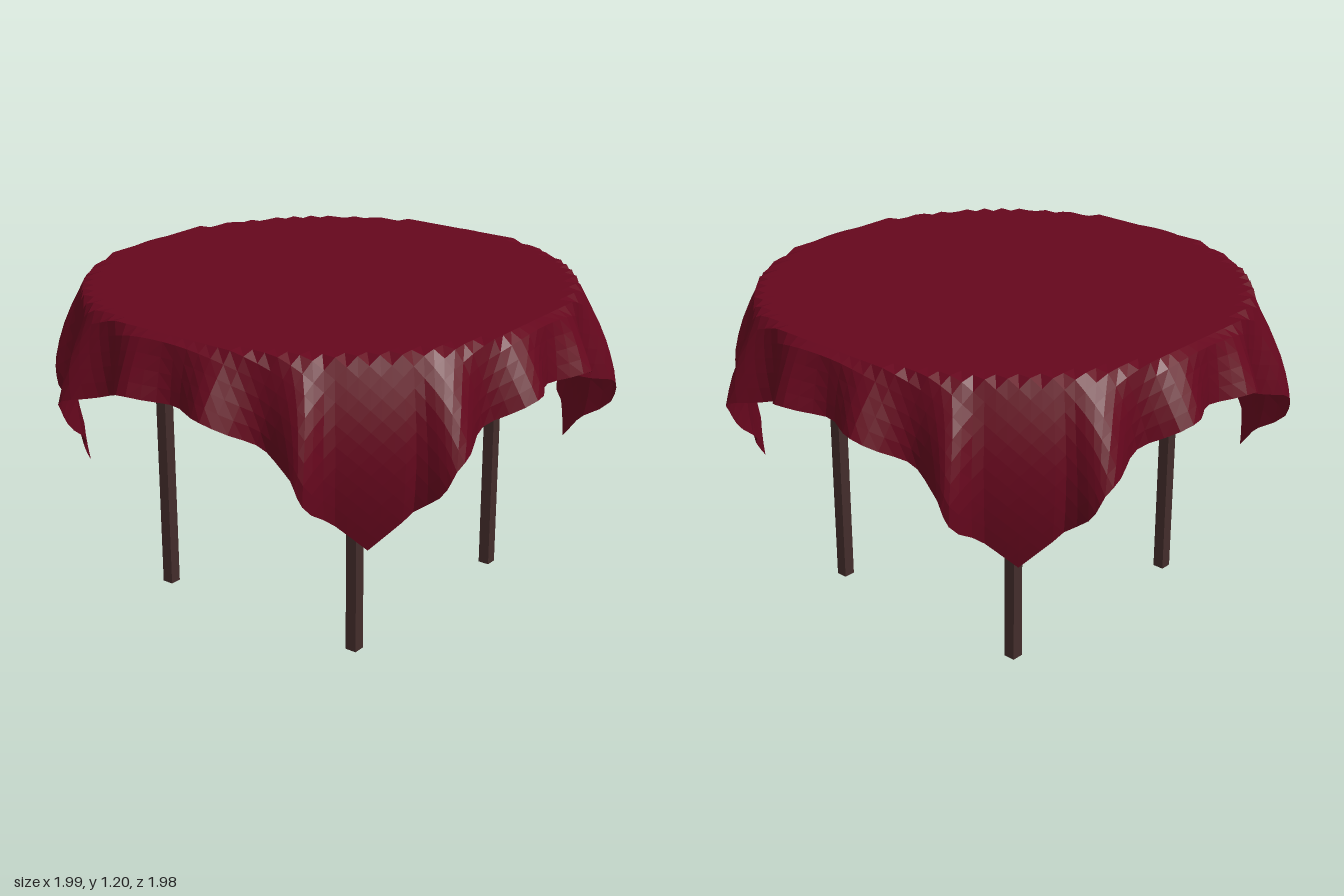
import * as THREE from 'three';

const clothRed = new THREE.MeshStandardMaterial({ name: 'clothRed', color: 0x65071d, flatShading: true, side: THREE.DoubleSide });
const darkWood = new THREE.MeshStandardMaterial({ name: 'darkWood', color: 0x432d2b, flatShading: true });

const HEIGHT = 1.2;      // top of the cloth
const FOLD_RADIUS = 0.9; // where the cloth starts to hang
const HALF = 1.115;      // half side of the square cloth
const CELLS = 44;
const { smoothstep } = THREE.MathUtils;

// Maps a point of the flat square cloth to its draped position
function drape(u, v) {
  const r = Math.hypot(u, v);
  const s = r - FOLD_RADIUS; // length hanging past the rim
  if (s <= 0) return [u, HEIGHT, v];

  // angle from the nearest corner; the tip of each flap keeps its full width as it hangs
  const angle = Math.atan2(v, u);
  const quarter = Math.PI / 2;
  const corner = (Math.floor(angle / quarter) + 0.5) * quarter;
  const flat = angle - corner;
  const spread = (r / FOLD_RADIUS - 1) * (1 - smoothstep(Math.abs(flat), 0.1, 0.28));
  const theta = corner + flat * (1 + spread);
  const offAxis = theta - Math.round(theta / quarter) * quarter;

  // pleats along the sides fade out on the corner flaps
  const fade = 1 - smoothstep(Math.abs(offAxis), 0.56, 0.67);
  const shift = 0.06 * Math.cos(theta) ** 2;
  const pleat = 0.25 - 0.75 * Math.cos(18 * (offAxis + shift));
  const flare = 0.06 * Math.sin(Math.PI * Math.min(s / 0.7, 1));
  const out = Math.max(0, flare + Math.min(0.24 * s, 0.1) * pleat * fade);
  const drop = Math.sqrt(Math.max(s * s - out * out, 0));
  const radius = FOLD_RADIUS + out;
  return [radius * Math.cos(theta), HEIGHT - drop, radius * Math.sin(theta)];
}

function makeCloth() {
  const geometry = new THREE.PlaneGeometry(2 * HALF, 2 * HALF, CELLS, CELLS).rotateX(-Math.PI / 2);

  // run the diagonal of every cell outward from the centre
  const index = [];
  const row = CELLS + 1;
  for (let j = 0; j < CELLS; j++) {
    for (let i = 0; i < CELLS; i++) {
      const a = j * row + i, b = a + row, c = b + 1, d = a + 1;
      const sameSign = (i < CELLS / 2) === (j < CELLS / 2);
      index.push(...(sameSign ? [a, b, c, a, c, d] : [a, b, d, b, c, d]));
    }
  }
  geometry.setIndex(index);

  const p = geometry.attributes.position;
  for (let i = 0; i < p.count; i++) p.setXYZ(i, ...drape(p.getX(i), p.getZ(i)));
  geometry.computeVertexNormals();
  const cloth = new THREE.Mesh(geometry, clothRed);
  cloth.name = 'tablecloth';
  return cloth;
}

export function createModel() {
  const table = new THREE.Group();
  table.name = 'roundTable';
  table.add(makeCloth());

  // Round top with a bevelled rim
  const profile = [[0, 1.11], [0.85, 1.11], [0.873, 1.122], [0.873, 1.16], [0.86, 1.178], [0, 1.178]];
  const top = new THREE.Mesh(
    new THREE.LatheGeometry(profile.map(([x, y]) => new THREE.Vector2(x, y)), 64), darkWood);
  top.name = 'tableTop';
  table.add(top);

  // Four square legs
  const legGeometry = new THREE.BoxGeometry(0.044, 1.14, 0.044);
  for (const x of [-1, 1]) {
    for (const z of [-1, 1]) {
      const leg = new THREE.Mesh(legGeometry, darkWood);
      leg.name = (z > 0 ? 'front' : 'back') + (x > 0 ? 'Left' : 'Right') + 'Leg';
      leg.position.set(x * 0.441, 0.57, z * 0.441);
      table.add(leg);
    }
  }

  table.position.set(0.008, 0, -0.007);
  const model = new THREE.Group();
  model.name = 'drapedTable';
  model.add(table);
  return model;
}
